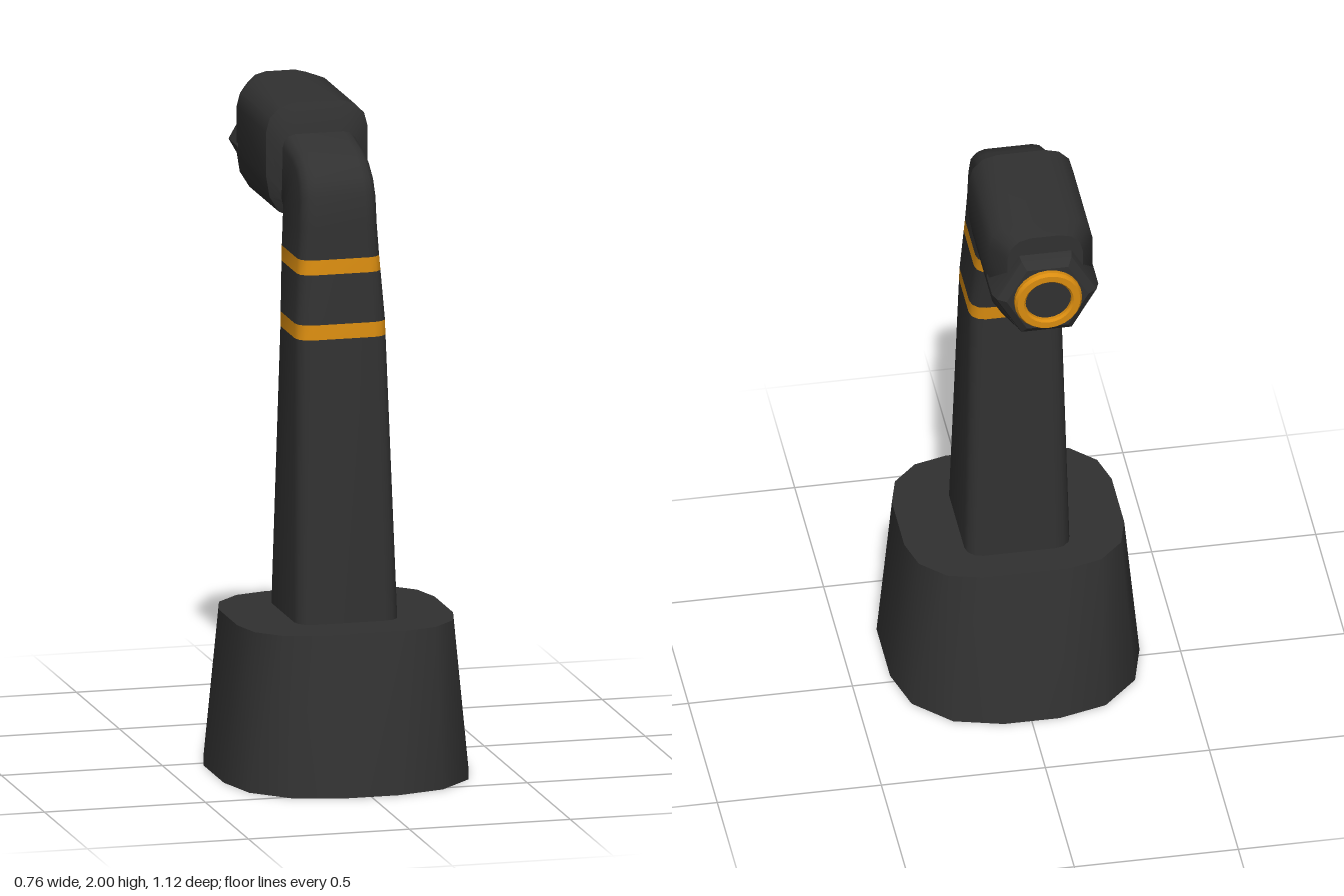
import * as THREE from 'three';
import { toCreasedNormals } from 'three/addons/utils/BufferGeometryUtils.js';

// Rounded cross-section between a back point B and a front point F, both [z, y].
function ring(hw, B, F, r, rbx = r, rby = r) {
  const len = Math.hypot(F[0] - B[0], F[1] - B[1]);
  const pts = [];
  for (let c = 0; c < 4; c++) {
    const sx = c === 0 || c === 3 ? 1 : -1;
    const front = c < 2;
    const rx = front ? r : rbx, ry = front ? r : rby;
    for (let k = 0; k <= 3; k++) {
      const a = (c + k / 3) * Math.PI / 2;
      const x = sx * (hw - rx) + rx * Math.cos(a);
      const t = ((front ? len - ry : ry) + ry * Math.sin(a)) / len;
      pts.push([x, B[1] + (F[1] - B[1]) * t, B[0] + (F[0] - B[0]) * t]);
    }
  }
  return pts;
}

// Skin a list of cross-sections, optionally closing both ends.
function loft(rings, caps = true) {
  const n = rings[0].length, pos = [];
  const tri = (...p) => p.forEach(v => pos.push(...v));
  for (let j = 0; j < rings.length - 1; j++) {
    const lo = rings[j], hi = rings[j + 1];
    for (let i = 0; i < n; i++) {
      const k = (i + 1) % n;
      tri(lo[i], hi[i], lo[k]);
      tri(lo[k], hi[i], hi[k]);
    }
  }
  if (caps) {
    const first = rings[0], last = rings[rings.length - 1];
    for (let i = 1; i < n - 1; i++) {
      tri(first[0], first[i], first[i + 1]);
      tri(last[0], last[i + 1], last[i]);
    }
  }
  const g = new THREE.BufferGeometry();
  g.setAttribute('position', new THREE.Float32BufferAttribute(pos, 3));
  return toCreasedNormals(g, 0.65);
}

// Turned part whose axis points backward (-z), centred on the head.
function turned(profile, sides, crease) {
  const g = new THREE.LatheGeometry(profile.map(p => new THREE.Vector2(...p)), sides, Math.PI / 2);
  g.rotateX(-Math.PI / 2);
  g.translate(0, 1.8, 0);
  return toCreasedNormals(g, crease);
}

export function createModel() {
  const group = new THREE.Group();
  const dark = new THREE.MeshStandardMaterial({ color: 0x313131 });
  dark.name = 'charcoal';
  const orange = new THREE.MeshStandardMaterial({ color: 0xd98c10 });
  orange.name = 'orange';
  const add = (name, geometry, material) => {
    const m = new THREE.Mesh(geometry, material);
    m.name = name;
    group.add(m);
  };

  // Tapered base
  add('base', loft([
    ring(0.38, [-0.265, 0], [0.56, 0], 0.295),
    ring(0.335, [-0.16, 0.48], [0.455, 0.48], 0.2),
  ]), dark);

  // Column sections; the bands are flush slices of the same column
  const column = [
    ring(0.16, [-0.055, 0.48], [0.31, 0.48], 0.05),
    ring(0.141, [-0.016, 1.34], [0.24, 1.34], 0.045),
    ring(0.14, [-0.018, 1.385], [0.236, 1.385], 0.045),
    ring(0.13, [-0.042, 1.535], [0.218, 1.535], 0.042),
    ring(0.127, [-0.05, 1.58], [0.214, 1.58], 0.042),
  ];
  ['lowerColumn', 'lowerBand', 'middleColumn', 'upperBand'].forEach((name, i) =>
    add(name, loft([column[i], column[i + 1]], false), i % 2 ? orange : dark));

  // Elbow turning backward into the head
  add('elbow', loft([
    column[4],
    ring(0.121, [-0.062, 1.64], [0.209, 1.68], 0.042),
    ring(0.118, [-0.068, 1.66], [0.204, 1.77], 0.042),
    ring(0.116, [-0.071, 1.665], [0.184, 1.82], 0.042),
    ring(0.114, [-0.074, 1.67], [0.14, 1.862], 0.042),
    ring(0.114, [-0.077, 1.675], [0.085, 1.887], 0.042),
    ring(0.115, [-0.08, 1.68], [-0.04, 1.912], 0.042),
    ring(0.115, [-0.12, 1.68], [-0.12, 1.93], 0.042),
  ]), dark);

  // Head housing with flared front collar and tapered rear sides
  add('head', loft([
    ring(0.113, [-0.06, 1.68], [-0.037, 1.905], 0.05),
    ring(0.158, [-0.075, 1.65], [-0.075, 2], 0.085, 0.08, 0.13),
    ring(0.158, [-0.42, 1.65], [-0.42, 2], 0.085, 0.08, 0.13),
    ring(0.115, [-0.5, 1.655], [-0.5, 2], 0.07, 0.06, 0.1),
  ]), dark);

  // Six-sided end cap
  add('endCap', turned([
    [0, 0.4], [0.162, 0.4], [0.162, 0.495], [0.152, 0.522], [0.125, 0.54], [0, 0.54],
  ], 6, 0.4), dark);

  // Nozzle ring and its recessed centre
  add('nozzleRing', turned([
    [0.103, 0.53], [0.103, 0.553], [0.096, 0.563], [0.076, 0.563], [0.07, 0.556], [0.07, 0.535],
  ], 24, 0.6), orange);
  add('nozzleCentre', turned([[0.072, 0.53], [0.072, 0.545], [0, 0.545]], 24, 0.6), dark);

  return group;
}
